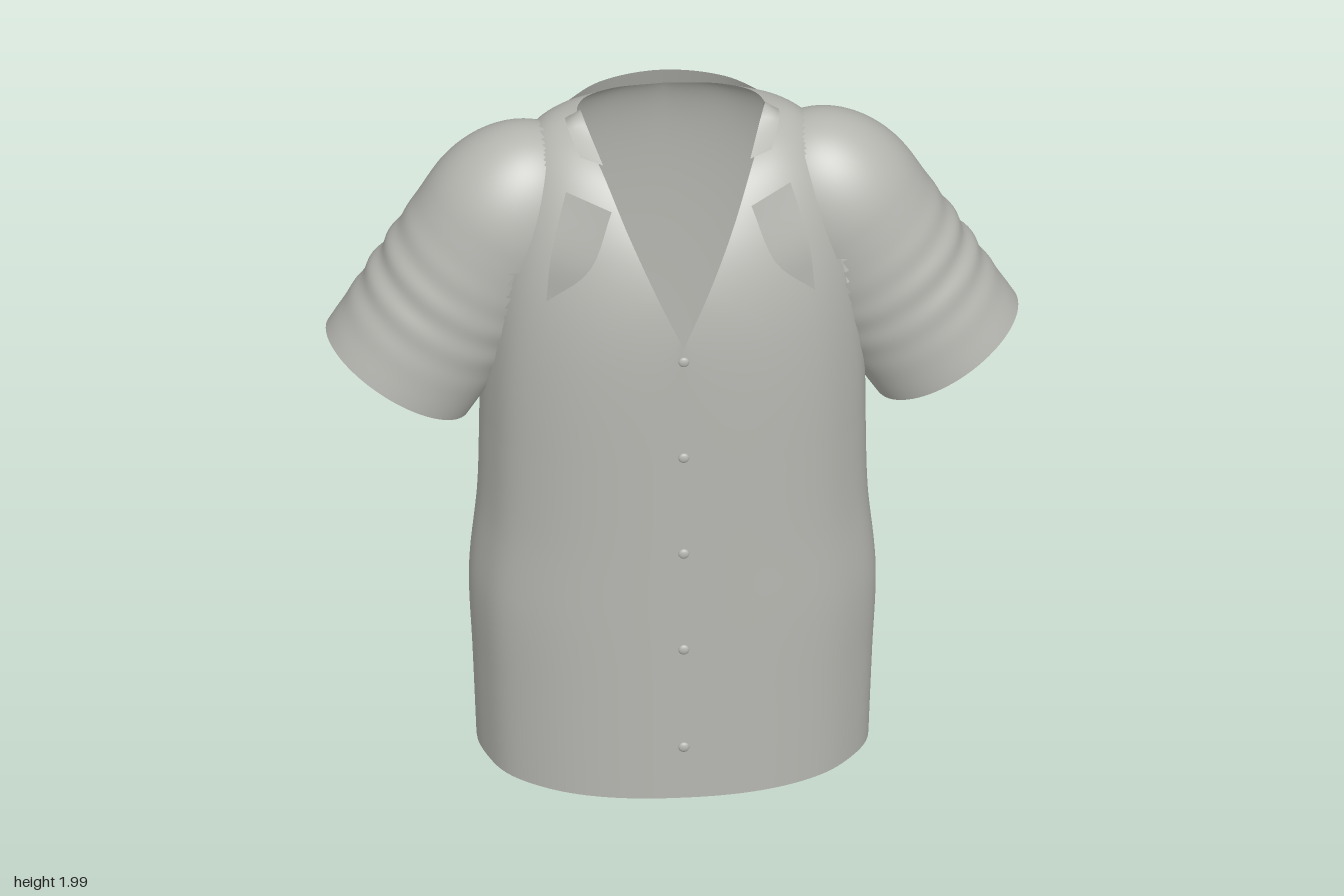
import * as THREE from 'three';

const fabric = new THREE.MeshStandardMaterial({ color: 0xb6b6b1, side: THREE.DoubleSide });
fabric.name = 'grey fabric';
const V = (x, y, z) => new THREE.Vector3(x, y, z);
const spline = (...p) => new THREE.CatmullRomCurve3(p.map(q => V(...q)));

// Smooth sheet from fn(u, v); cells whose corners all satisfy drop() are left out
function sheet(name, nu, nv, fn, drop = () => false, wrap = false) {
  const pts = [], all = [], kept = [], cols = wrap ? nu : nu + 1;
  for (let j = 0; j <= nv; j++)
    for (let i = 0; i < cols; i++) pts.push(fn(i / nu, j / nv));
  const cut = pts.map(drop);
  for (let j = 0; j < nv; j++) {
    for (let i = 0; i < nu; i++) {
      const a = j * cols + i, b = j * cols + (i + 1) % cols, c = a + cols, d = b + cols;
      for (const t of [[a, b, d], [a, d, c]]) {
        all.push(...t);
        if (!t.every(k => cut[k])) kept.push(...t);
      }
    }
  }
  const g = new THREE.BufferGeometry().setFromPoints(pts);
  g.setIndex(all);
  g.computeVertexNormals();
  g.setIndex(kept);
  const mesh = new THREE.Mesh(g, fabric);
  mesh.name = name;
  return mesh;
}

// Torso: oval rings up to the armpit, then curves over the shoulders to the neckline
const POW = 2.3, CHEST = 1.05;
const widths = spline([0.53, 0, 0], [0.54, 0.25, 0], [0.55, 0.47, 0], [0.528, 0.75, 0], [0.522, 1.05, 0]);
const neckline = spline([0, 1.45, 0.41], [0.07, 1.6, 0.375], [0.14, 1.75, 0.3], [0.205, 1.89, 0.18],
  [0.255, 1.95, 0.03], [0.24, 1.94, -0.09], [0.15, 1.905, -0.2], [0, 1.89, -0.24]);

function ring(th, y) {
  const s = Math.sin(th), c = Math.cos(th);
  const a = widths.getPoint(y / CHEST).x;
  const back = 0.36 + 0.042 * Math.exp(-(((y - 0.33) / 0.17) ** 2));
  const fold = 1 + 0.006 * Math.sin(th * 11) * s * s;
  const x = a * Math.sign(s) * Math.abs(s) ** (2 / POW) * fold;
  const z = 0.05 + (c > 0 ? 0.36 : back) * Math.sign(c) * Math.abs(c) ** (2 / POW);
  return V(x, y, z);
}

function torsoPoint(u, v) {
  const th = (u * 2 - 1) * Math.PI;
  if (v < 0.4) return ring(th, CHEST * v / 0.4);
  const p0 = ring(th, CHEST), p3 = neckline.getPoint(Math.abs(th) / Math.PI);
  if (th < 0) p3.x *= -1;
  const w = Math.sin(th) ** 2;
  const p1 = p0.clone();
  p1.y += 0.6 * (p3.y - p0.y);
  const p2 = p3.clone().lerp(p0, 0.85);
  p2.y = p3.y - 0.1 * (1 - w) + 0.02 * w;
  return new THREE.CubicBezierCurve3(p0, p1, p2, p3).getPoint((v - 0.4) / 0.6);
}

// Sleeve frame: up the arm from the cuff, and across it
const cuff = V(0.745, 1.18, 0.015), up = V(-0.53, 0.848, 0), out = V(0.848, 0.53, 0);
const TUBE = 0.55, DOME = 0.3, RZ = 0.21;

function inSleeve(p) {
  const q = V(Math.abs(p.x), p.y, p.z).sub(cuff);
  const s = q.dot(up), n = q.dot(out);
  if (s < 0.01) return false;
  return (n / 0.235) ** 2 + (q.z / RZ) ** 2 + (Math.max(0, s - TUBE) / DOME) ** 2 < 0.94;
}

function inTorso(p) {
  if (p.y > 1.6) return Math.abs(p.x) < 0.36;
  return (Math.abs(p.x) / 0.515) ** POW + (Math.abs(p.z - 0.05) / 0.35) ** POW < 1;
}

// Straight sleeve with creases, closed by a rounded shoulder
function sleevePoint(side, u, v) {
  const a = u * 2 * Math.PI;
  let s, k = 1;
  if (v < 0.6) {
    s = TUBE * v / 0.6;
    const crease = Math.exp(-(((s - 0.27) / 0.13) ** 2)) * (0.4 + 0.6 * Math.max(0, Math.cos(a)));
    k += 0.022 * crease * Math.sin(s * 62 + Math.sin(a) * 1.2);
  } else {
    const b = (v - 0.6) / 0.4 * Math.PI / 2;
    s = TUBE + DOME * Math.sin(b);
    k = Math.cos(b);
  }
  const r = 0.23 + 0.01 * Math.min(1, s / TUBE);
  const p = cuff.clone().addScaledVector(up, s).addScaledVector(out, r * k * Math.cos(a));
  p.z += RZ * k * Math.sin(a);
  p.x *= side;
  return p;
}

// Sheet stretched between two edge curves
function between(name, side, e1, e2, n = 10) {
  return sheet(name, n, n, (u, v) => {
    const p = e1.getPoint(v).lerp(e2.getPoint(v), u);
    p.x *= side;
    return p;
  });
}

export function createModel() {
  const shirt = new THREE.Group();
  shirt.name = 'shirt';
  shirt.add(sheet('torso', 160, 110, torsoPoint, inSleeve, true));

  for (const side of [1, -1]) {
    const label = side > 0 ? 'left' : 'right';
    shirt.add(sheet(label + 'Sleeve', 80, 80, (u, v) => sleevePoint(side, u, v), inTorso, true));

    // Pointed front collar flap
    shirt.add(between(label + 'CollarPoint', side,
      spline([0.19, 1.855, 0.335], [0.25, 1.7, 0.375], [0.365, 1.555, 0.305]),
      spline([0.305, 1.855, 0.225], [0.35, 1.7, 0.29], [0.365, 1.555, 0.305])));

    // Small raised fold where the collar meets the shoulder
    shirt.add(between(label + 'NeckFold', side,
      spline([0.2, 1.9, 0.17], [0.235, 1.96, 0.07], [0.25, 1.995, 0.04], [0.25, 1.95, -0.02]),
      spline([0.26, 1.915, 0.15], [0.285, 1.95, 0.07], [0.29, 1.96, 0.04], [0.29, 1.94, -0.02])));
  }

  // Back collar: a flared band standing away from the shoulders
  const top = spline([-0.29, 1.86, -0.19], [-0.17, 1.86, -0.305], [0, 1.86, -0.35], [0.17, 1.86, -0.305], [0.29, 1.86, -0.19]);
  const bottom = spline([-0.33, 1.67, -0.245], [-0.19, 1.67, -0.37], [0, 1.67, -0.42], [0.19, 1.67, -0.37], [0.33, 1.67, -0.245]);
  shirt.add(between('backCollar', 1, top, bottom, 32));

  // Front buttons
  for (const y of [0.165, 0.48, 0.79, 1.1, 1.41]) {
    const button = new THREE.Mesh(new THREE.SphereGeometry(0.015, 16, 10), fabric);
    button.name = 'button';
    button.scale.z = 0.5;
    button.position.set(0, y, 0.412);
    shirt.add(button);
  }
  return shirt;
}
